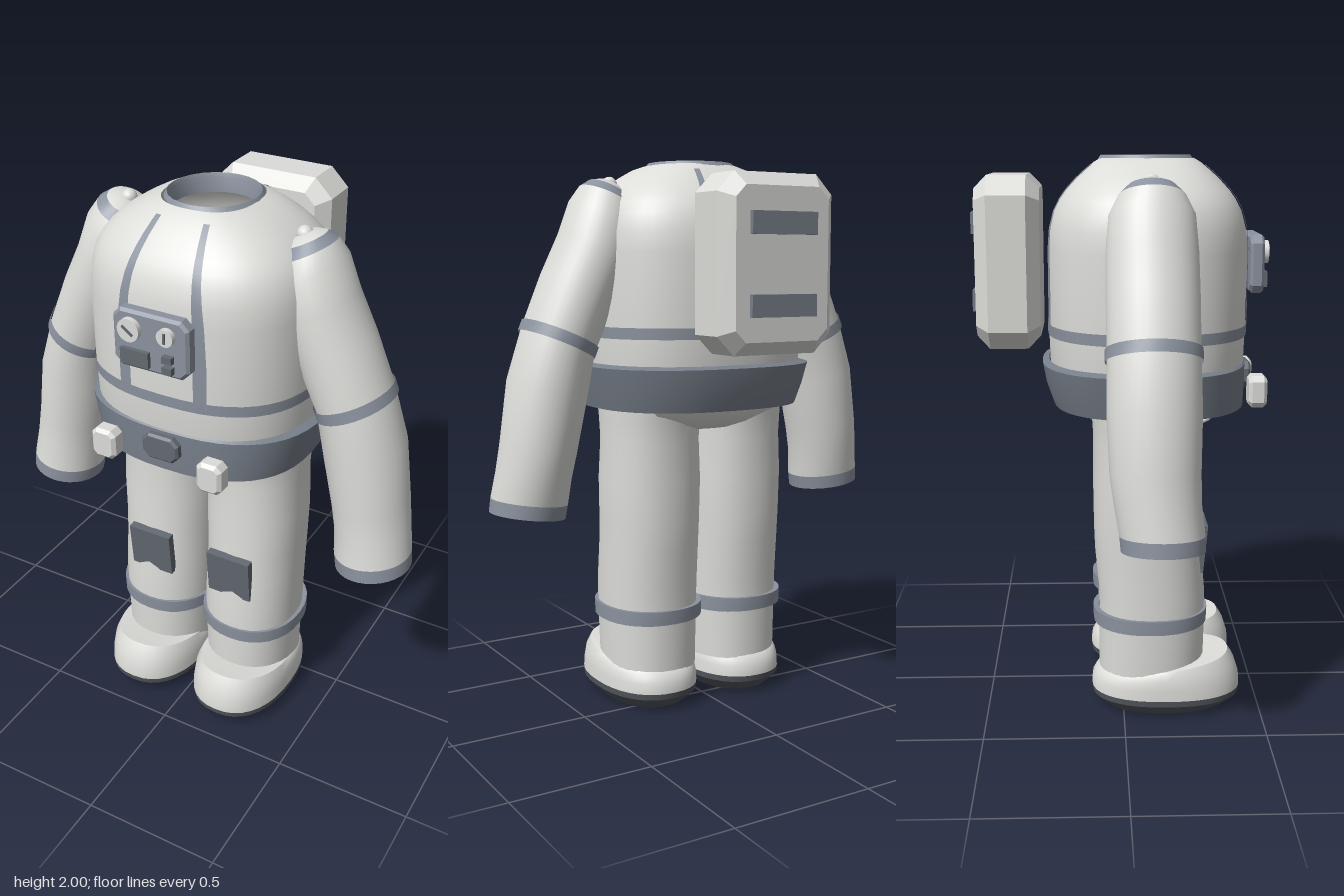
import * as THREE from 'three';
import { toCreasedNormals } from 'three/addons/utils/BufferGeometryUtils.js';

const mat = (name, color) => {
  const m = new THREE.MeshStandardMaterial({ color, side: THREE.DoubleSide });
  m.name = name;
  return m;
};

// Point on a ring: superellipse in x/z, leaning about z, with optional slope along z
function ringPoint(r, t, n) {
  const c = Math.cos(t), s = Math.sin(t);
  const u = Math.sign(c) * Math.abs(c) ** (2 / n) * r.rx;
  const w = Math.sign(s) * Math.abs(s) ** (2 / n) * r.rz;
  const a = r.lean || 0;
  return [r.x + u * Math.cos(a), r.y + u * Math.sin(a) + w * (r.slope || 0), r.z + w];
}

// Skin through rings listed from bottom to top
function loft(rings, { seg = 40, n = 2, bottom = false, top = false, crease = 0.6 } = {}) {
  const pos = [], idx = [];
  for (const r of rings)
    for (let j = 0; j < seg; j++) pos.push(...ringPoint(r, (j / seg) * Math.PI * 2, n));
  for (let i = 0; i < rings.length - 1; i++)
    for (let j = 0; j < seg; j++) {
      const k = (j + 1) % seg;
      const a = i * seg + j, b = i * seg + k, c = a + seg, d = b + seg;
      idx.push(a, c, b, b, c, d);
    }
  const cap = (r, base, up) => {
    const m = pos.length / 3;
    pos.push(r.x, r.y, r.z);
    for (let j = 0; j < seg; j++) {
      const p = base + j, q = base + (j + 1) % seg;
      idx.push(m, up ? q : p, up ? p : q);
    }
  };
  if (bottom) cap(rings[0], 0, false);
  if (top) cap(rings[rings.length - 1], (rings.length - 1) * seg, true);
  const g = new THREE.BufferGeometry();
  g.setAttribute('position', new THREE.Float32BufferAttribute(pos, 3));
  g.setIndex(idx);
  return toCreasedNormals(g, crease);
}

// Box with cut corners and chamfered edges, centred
function cutBox(w, h, d, cut, bevel) {
  const x = w / 2 - bevel, y = h / 2 - bevel;
  const s = new THREE.Shape([[x - cut, -y], [x, cut - y], [x, y - cut], [x - cut, y],
    [cut - x, y], [-x, y - cut], [-x, cut - y], [cut - x, -y]].map(p => new THREE.Vector2(...p)));
  const g = new THREE.ExtrudeGeometry(s, { depth: d - 2 * bevel, bevelEnabled: true,
    bevelSize: bevel, bevelThickness: bevel, bevelSegments: 1 });
  return g.translate(0, 0, bevel - d / 2);
}

// Torso profile: height, half width, half depth
const PROFILE = [[1.15, 0.385, 0.33], [1.28, 0.4, 0.35], [1.42, 0.405, 0.355], [1.68, 0.405, 0.355],
  [1.75, 0.4, 0.349], [1.81, 0.387, 0.333], [1.85, 0.366, 0.312], [1.88, 0.342, 0.29],
  [1.92, 0.298, 0.253], [1.95, 0.25, 0.22], [1.975, 0.205, 0.19], [1.99, 0.16, 0.165]];
const TORSO_Z = 0.09, TORSO_N = 2.5;

function torsoAt(y) {
  let i = 0;
  while (i < PROFILE.length - 2 && PROFILE[i + 1][0] < y) i++;
  const [a, b] = [PROFILE[i], PROFILE[i + 1]];
  const t = (y - a[0]) / (b[0] - a[0]);
  return { x: 0, y, z: TORSO_Z, rx: a[1] + (b[1] - a[1]) * t, rz: a[2] + (b[2] - a[2]) * t };
}

// Tapering painted stripe that follows the chest (face 1) or back (face -1)
function torsoStripe(side, face) {
  const pos = [], idx = [];
  const ys = [1.38, 1.42, 1.55, 1.68, 1.75, 1.81, 1.85, 1.88, 1.92, 1.95, 1.965];
  ys.forEach((y, i) => {
    const r = torsoAt(y), t = Math.max(0, (y - 1.6) / 0.365);
    const mid = 0.142 - 0.055 * t * t, half = 0.023 - 0.013 * t;
    for (const e of [-1, 1]) {
      const x = mid + e * half;
      const z = r.rz * (1 - (x / r.rx) ** TORSO_N) ** (1 / TORSO_N) + 0.004;
      pos.push(side * x, y + 0.003, TORSO_Z + face * z);
    }
    if (i) {
      const k = i * 2;
      idx.push(...(side * face > 0 ? [k - 2, k - 1, k, k - 1, k + 1, k] : [k - 2, k, k - 1, k - 1, k, k + 1]));
    }
  });
  const g = new THREE.BufferGeometry();
  g.setAttribute('position', new THREE.Float32BufferAttribute(pos, 3));
  g.setIndex(idx);
  g.computeVertexNormals();
  return g;
}

export function createModel() {
  const root = new THREE.Group();
  root.name = 'spaceSuit';
  const white = mat('suit white', 0xdcdcd9), grey = mat('trim grey', 0x8b929e);
  const beltGrey = mat('belt grey', 0x78808b), dark = mat('patch dark grey', 0x636a71);
  const sole = mat('sole charcoal', 0x50545a);
  const add = (name, geo, m, x = 0, y = 0, z = 0, parent = root) => {
    const mesh = new THREE.Mesh(geo, m);
    mesh.name = name;
    mesh.position.set(x, y, z);
    parent.add(mesh);
    return mesh;
  };

  // Torso, neck ring and stripes
  add('torso', loft(PROFILE.map(p => torsoAt(p[0])), { seg: 48, n: TORSO_N }), white);
  const neck = (y, r) => ({ x: 0, y, z: 0.085, rx: r, rz: r * 1.03 });
  add('neckRing', loft([neck(1.935, 0.145), neck(1.985, 0.15), neck(2, 0.155), neck(1.985, 0.165)], { seg: 24 }), grey);
  const grow = r => ({ ...r, rx: r.rx + 0.004, rz: r.rz + 0.004 });
  add('waistStripe', loft([1.378, 1.418].map(y => grow(torsoAt(y))), { seg: 48, n: TORSO_N }), grey);
  for (const s of [-1, 1]) for (const f of [-1, 1])
    add(f > 0 ? 'chestStripe' : 'backStripe', torsoStripe(s, f), grey);

  // Belt, buckle and pouches
  add('belt', loft([
    { x: 0, y: 1.13, z: 0.09, rx: 0.365, rz: 0.31 }, { x: 0, y: 1.122, z: 0.097, rx: 0.392, rz: 0.345 },
    { x: 0, y: 1.2, z: 0.085, rx: 0.413, rz: 0.36 }, { x: 0, y: 1.275, z: 0.078, rx: 0.432, rz: 0.367 },
    { x: 0, y: 1.285, z: 0.085, rx: 0.4, rz: 0.35 }], { seg: 48, n: TORSO_N }), beltGrey);
  add('buckle', cutBox(0.14, 0.095, 0.04, 0.02, 0.008), dark, 0, 1.217, 0.45);
  for (const s of [-1, 1])
    add('pouch', cutBox(0.095, 0.112, 0.065, 0.012, 0.012), white, s * 0.206, s < 0 ? 1.19 : 1.18, 0.473);

  // Hips
  add('hips', loft([
    { x: 0, y: 1.04, z: 0.09, rx: 0.17, rz: 0.17 }, { x: 0, y: 1.06, z: 0.09, rx: 0.26, rz: 0.21 },
    { x: 0, y: 1.1, z: 0.09, rx: 0.34, rz: 0.255 }, { x: 0, y: 1.2, z: 0.09, rx: 0.37, rz: 0.31 }],
    { n: 2.3, bottom: true, top: true, crease: 1 }), white);
  add('frontFlap', new THREE.SphereGeometry(1, 20, 10).scale(0.17, 0.018, 0.1), white, 0, 1.06, 0.24);

  // Chest control panel
  const panel = new THREE.Group();
  panel.name = 'controlPanel';
  panel.position.set(0, 1.625, 0.475);
  root.add(panel);
  add('panelCase', cutBox(0.28, 0.205, 0.05, 0.022, 0.01), grey, 0, 0, 0, panel);
  for (const [x, y, r, turn] of [[-0.07, 0.04, 0.04, 0.95], [0.065, 0.045, 0.03, 0]]) {
    add('gauge', new THREE.CylinderGeometry(r, r, 0.022, 24).rotateX(Math.PI / 2), white, x, y, 0.033, panel);
    add('needle', new THREE.BoxGeometry(0.008, r * 1.2, 0.005).rotateZ(turn), dark, x, y, 0.046, panel);
  }
  add('screen', new THREE.BoxGeometry(0.105, 0.055, 0.02), dark, -0.053, -0.055, 0.03, panel);
  for (const y of [-0.032, -0.07])
    add('button', new THREE.BoxGeometry(0.036, 0.024, 0.03), dark, 0.07, y, 0.03, panel);

  // Backpack
  add('backpack', cutBox(0.46, 0.6, 0.225, 0.04, 0.045), white, 0, 1.635, -0.4);
  for (const y of [1.5, 1.77])
    add('backpackPlate', new THREE.BoxGeometry(0.26, 0.075, 0.02), beltGrey, 0, y, -0.518);

  for (const s of [-1, 1]) {
    const side = s > 0 ? 'left' : 'right';

    // Arm rings: x, y, z, half width, half depth, lean
    const ring = ([x, y, z, rx, rz, lean]) => ({ x: s * x, y, z, rx, rz, lean: s * lean });
    const cuffTop = [0.65, 0.803, 0.114, 0.137, 0.14, 0.13];
    const capLow = [0.345, 1.868, 0.09, 0.1, 0.113, 0.45], capHigh = [0.335, 1.9, 0.09, 0.073, 0.08, 0.45];
    const sleeve = [cuffTop, [0.637, 0.9, 0.1, 0.133, 0.143, 0.15], [0.62, 1.0, 0.092, 0.135, 0.149, 0.18],
      [0.585, 1.2, 0.09, 0.143, 0.156, 0.28], [0.538, 1.375, 0.09, 0.133, 0.153, 0.42],
      [0.46, 1.55, 0.09, 0.137, 0.155, 0.42], [0.395, 1.69, 0.09, 0.133, 0.154, 0.42],
      [0.358, 1.805, 0.09, 0.127, 0.145, 0.45], capLow];
    add(side + 'Sleeve', loft(sleeve.map(ring), { seg: 32, crease: 1 }), white);
    add(side + 'Cuff', loft([[0.657, 0.753, 0.117, 0.136, 0.139, 0.13], cuffTop].map(ring), { seg: 32 }), grey);
    add(side + 'ArmBand', loft([[0.546, 1.355, 0.09, 0.14, 0.16, 0.42], [0.53, 1.393, 0.09, 0.14, 0.16, 0.42]].map(ring), { seg: 32 }), grey);
    add(side + 'ShoulderRing', loft([capLow, capHigh].map(ring), { seg: 32 }), grey);
    add(side + 'ShoulderCap', loft([capHigh, [0.328, 1.918, 0.09, 0.04, 0.045, 0.45]].map(ring), { seg: 32, top: true, crease: 1 }), white);
    add(side + 'ShoulderButton', new THREE.SphereGeometry(0.028, 16, 10), white, s * 0.33, 1.915, 0.09);

    // Leg rings: height, z, half width, half depth
    const legRing = ([y, z, rx, rz]) => ({ x: s * 0.18, y, z, rx, rz });
    add(side + 'Leg', loft([[0.14, 0.105, 0.17, 0.193], [0.3, 0.107, 0.175, 0.194], [0.45, 0.106, 0.179, 0.194],
      [0.6, 0.092, 0.177, 0.194], [0.7, 0.086, 0.179, 0.192], [0.85, 0.083, 0.183, 0.19],
      [1.0, 0.08, 0.176, 0.185], [1.08, 0.08, 0.18, 0.19], [1.18, 0.085, 0.182, 0.21]].map(legRing),
      { seg: 32, n: 2.2, crease: 1 }), white);
    add(side + 'LegBand', loft([[0.332, 0.1, 0.172, 0.19], [0.33, 0.1, 0.192, 0.208],
      [0.382, 0.1, 0.192, 0.21], [0.38, 0.1, 0.172, 0.19]].map(legRing), { seg: 32, n: 2.2 }), grey);
    add(side + 'KneePatch', new THREE.BoxGeometry(0.172, 0.178, 0.03), dark, s * 0.167, 0.612, 0.282).rotation.x = 0.09;

    // Boot and sole
    const boot = (y, z, rx, rz, slope = 0) => ({ x: s * 0.187, y, z, rx, rz, slope });
    const welt = boot(0.072, 0.16, 0.184, 0.275);
    add(side + 'Sole', loft([boot(0.004, 0.155, 0.14, 0.215), boot(0.022, 0.158, 0.16, 0.24),
      boot(0.05, 0.16, 0.183, 0.272), welt], { seg: 36, n: 2.3, bottom: true }), sole);
    add(side + 'Boot', loft([welt, boot(0.11, 0.16, 0.182, 0.273), boot(0.15, 0.156, 0.178, 0.258, 0.08),
      boot(0.178, 0.15, 0.165, 0.24, 0.13), boot(0.182, 0.14, 0.145, 0.205, 0.1)],
      { seg: 36, n: 2.3, top: true, crease: 0.9 }), white);
  }
  return root;
}
